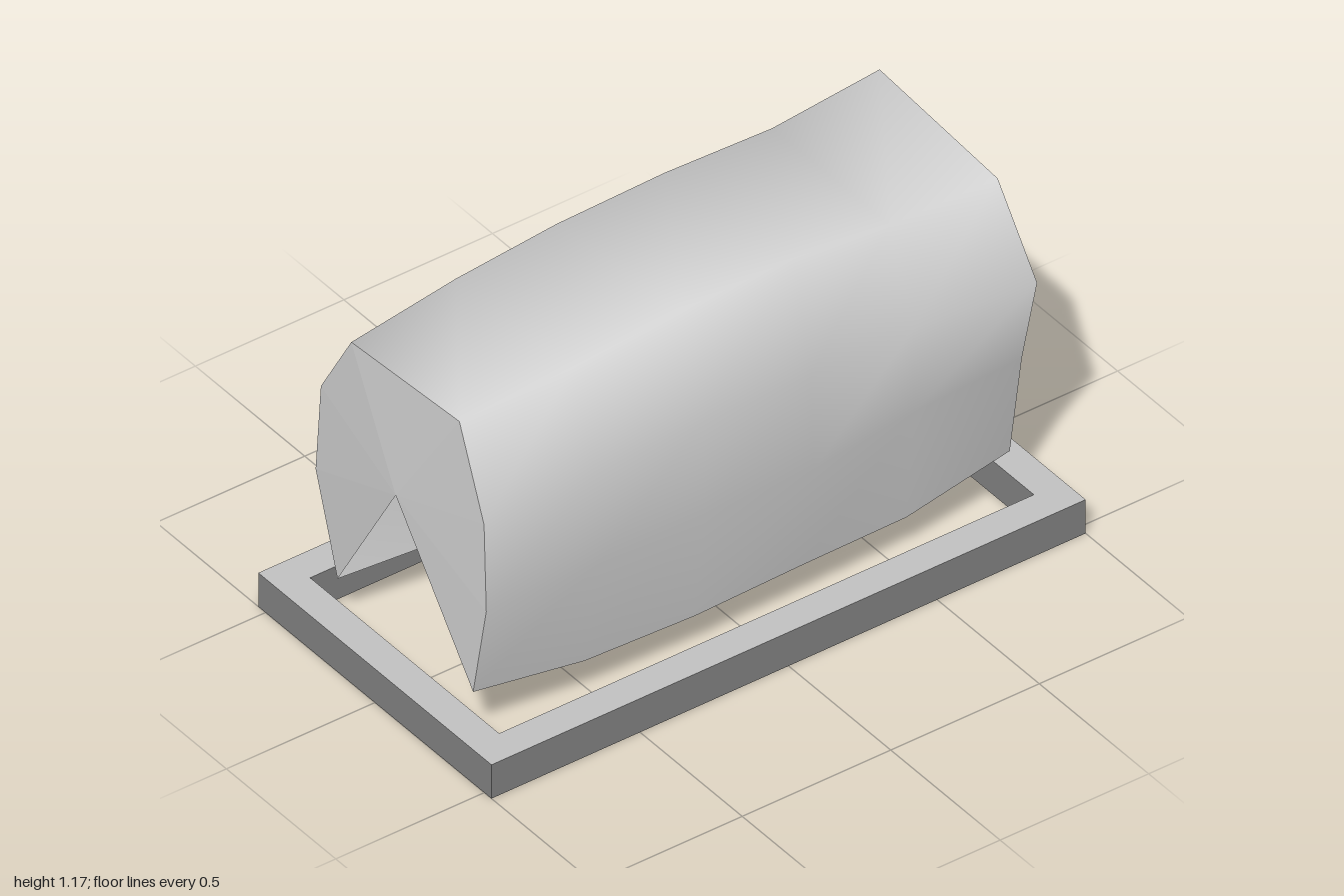
import * as THREE from 'three';

const shellMat = new THREE.MeshStandardMaterial({ name: 'pale grey shell', color: 0xd4d4d4, side: THREE.DoubleSide });
const frameMat = new THREE.MeshStandardMaterial({ name: 'dark grey frame', color: 0x858585 });
const topMat = new THREE.MeshStandardMaterial({ name: 'light grey top', color: 0xc4c4c4 });

// Shell cross-sections: [x, then z,y pairs from the front hem over the roof to the back hem]
const sections = [
  [-0.905, 0.32, 0.19, 0.38, 0.5, 0.37, 0.79, 0.257, 1.073, -0.237, 1.04, -0.376, 0.805, -0.4, 0.508, -0.3, 0.195],
  [-0.543, 0.34, 0.145, 0.4, 0.51, 0.385, 0.81, 0.28, 1.105, -0.25, 1.085, -0.38, 0.81, -0.39, 0.52, -0.33, 0.14],
  [-0.181, 0.35, 0.14, 0.395, 0.51, 0.385, 0.82, 0.285, 1.14, -0.28, 1.09, -0.39, 0.82, -0.41, 0.53, -0.345, 0.14],
  [0.181, 0.35, 0.15, 0.405, 0.51, 0.39, 0.82, 0.31, 1.17, -0.28, 1.1, -0.39, 0.82, -0.405, 0.53, -0.345, 0.145],
  [0.543, 0.335, 0.14, 0.37, 0.52, 0.365, 0.8, 0.26, 1.09, -0.28, 1.088, -0.395, 0.82, -0.4, 0.53, -0.34, 0.145],
  [0.905, 0.315, 0.19, 0.37, 0.54, 0.44, 0.84, 0.26, 1.085, -0.28, 1.125, -0.35, 0.79, -0.385, 0.53, -0.23, 0.31],
];
const N = 8;
const ringPoints = ([x, ...zy]) => Array.from({ length: N }, (_, k) => [x, zy[2 * k + 1], zy[2 * k]]);

function geometryFrom(points, index) {
  const g = new THREE.BufferGeometry();
  g.setAttribute('position', new THREE.Float32BufferAttribute(points.flat(), 3));
  g.setIndex(index);
  return g;
}

// Smooth wall lofted through the sections, open underneath
function shellWall() {
  const index = [];
  for (let i = 0; i < sections.length - 1; i++) {
    for (let k = 0; k < N - 1; k++) {
      const a = i * N + k, b = a + N;
      index.push(a, b, b + 1, a, b + 1, a + 1);
    }
  }
  const g = geometryFrom(sections.flatMap(ringPoints), index);
  g.computeVertexNormals();
  return g;
}

// End panel: a fan with a notch at the bottom
function endPanel(section, centreX) {
  const index = [];
  for (let k = 1; k < N; k++) index.push(0, ...(centreX > 0 ? [k + 1, k] : [k, k + 1]));
  const g = geometryFrom([[centreX, 0.675, 0], ...ringPoints(section)], index).toNonIndexed();
  g.computeVertexNormals();
  return g;
}

// Rectangular ring lying flat, from y0 up to y0 + height
function rectRing(y0, height) {
  const rect = (T, w, d) => new T([[-w, -d], [w, -d], [w, d], [-w, d]].map(([x, y]) => new THREE.Vector2(x, y)));
  const shape = rect(THREE.Shape, 1, 0.533);
  shape.holes.push(rect(THREE.Path, 0.9, 0.432));
  return new THREE.ExtrudeGeometry(shape, { depth: height, bevelEnabled: false })
    .rotateX(-Math.PI / 2).translate(0, y0, 0);
}

export function createModel() {
  const model = new THREE.Group();
  model.name = 'coveredFrame';
  const add = (name, geometry, material) => {
    const mesh = new THREE.Mesh(geometry, material);
    mesh.name = name;
    model.add(mesh);
    return mesh;
  };

  // Base frame with a lighter top face
  add('frame', rectRing(0, 0.107), frameMat);
  add('frameTop', rectRing(0.107, 0.008), [topMat, frameMat]);

  // Shell
  add('shellWall', shellWall(), shellMat);
  add('rightEnd', endPanel(sections[0], -0.93), shellMat);
  add('leftEnd', endPanel(sections[sections.length - 1], 0.92), shellMat);

  // Three small pegs, the outer two leaning outwards
  for (const side of [-1, 0, 1]) {
    const peg = add('peg', new THREE.CylinderGeometry(0.012, 0.014, 0.225, 10), topMat);
    peg.position.set(side * 0.59, 0.157, 0);
    peg.rotation.z = -side * 0.22;
  }
  return model;
}
